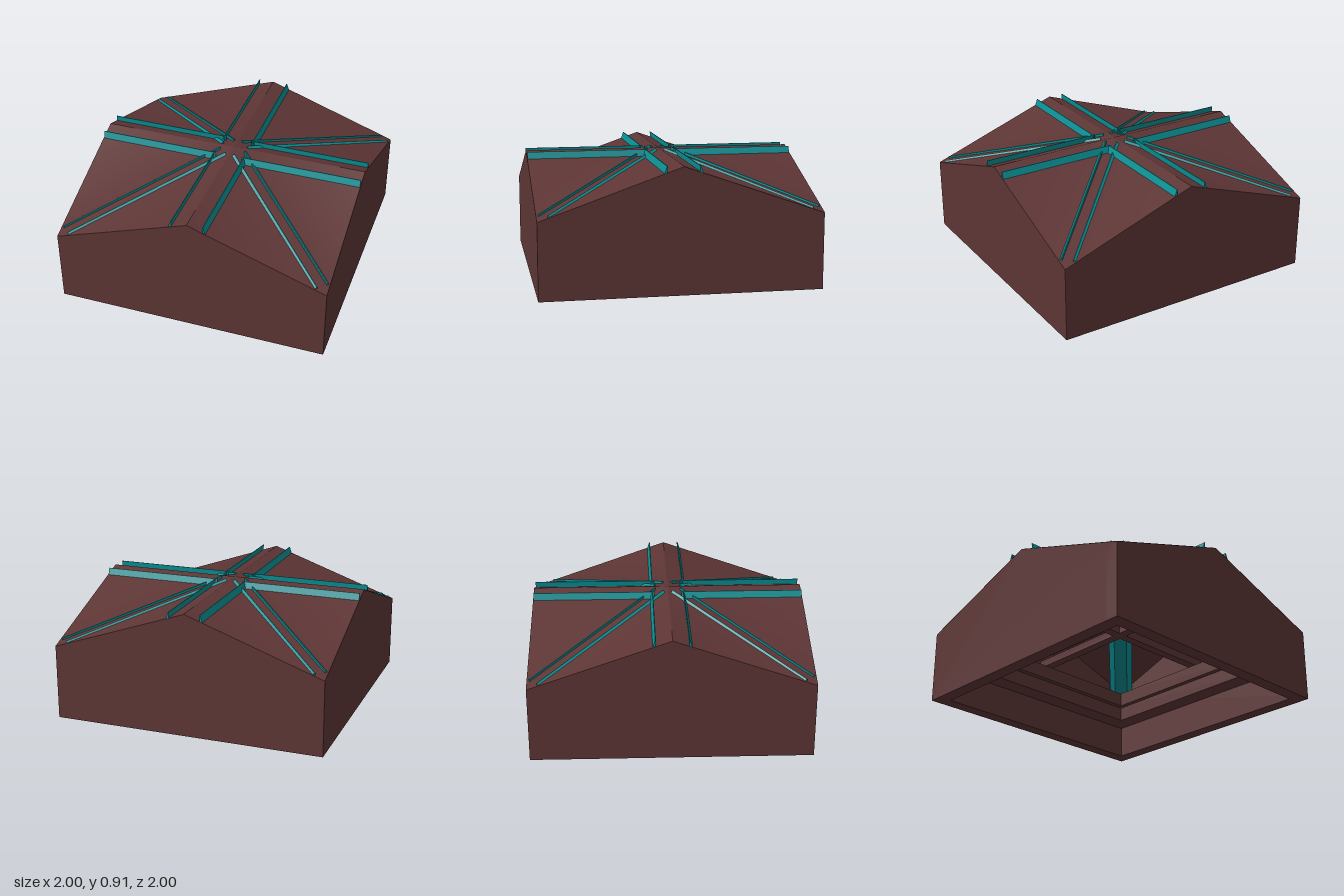
import * as THREE from 'three';

const EAVE = 0.55, RIDGE = 0.9, SLOPE = RIDGE - EAVE;

export function createModel() {
  const model = new THREE.Group();
  const brown = new THREE.MeshStandardMaterial({ color: 0x5e3535, side: THREE.DoubleSide });
  brown.name = 'brown';
  const teal = new THREE.MeshStandardMaterial({ color: 0x0a9094 });
  teal.name = 'teal';

  const add = (parent, name, geometry, material, x = 0, y = 0, z = 0) => {
    const mesh = new THREE.Mesh(geometry, material);
    mesh.name = name;
    mesh.position.set(x, y, z);
    parent.add(mesh);
    return mesh;
  };
  const polygon = (points) => new THREE.Shape(points.map(([x, y]) => new THREE.Vector2(x, y)));
  const extrude = (shape, depth) => new THREE.ExtrudeGeometry(shape, { depth, bevelEnabled: false });

  // One quarter of the cross-gabled roof: two slopes blending softly into a valley
  const roofQuarter = new THREE.BufferGeometry();
  roofQuarter.setAttribute('position', new THREE.Float32BufferAttribute(
    [0, RIDGE, 0, 1, RIDGE, 0, 1, EAVE, 1, 0, RIDGE, 1], 3));
  roofQuarter.setIndex([0, 2, 1, 0, 3, 2]);
  roofQuarter.computeVertexNormals();

  // Square frames that step inward inside the walls
  const frame = (name, inner, bottom, height) => {
    const outer = 0.99;
    const shape = polygon([[-outer, -outer], [outer, -outer], [outer, outer], [-outer, outer]]);
    shape.holes.push(polygon([[-inner, -inner], [-inner, inner], [inner, inner], [inner, -inner]]));
    const geometry = extrude(shape, height);
    geometry.rotateX(-Math.PI / 2);
    add(model, name, geometry, brown, 0, bottom, 0);
  };
  frame('lowerLedge', 0.76, 0.25, 0.11);
  frame('upperLedge', 0.72, 0.36, 0.11);

  // Gabled outer walls, just under the roof surface
  const gable = extrude(polygon([
    [-1, 0], [1, 0], [1, EAVE - 0.002], [0, RIDGE - 0.002], [-1, EAVE - 0.002],
  ]), 0.1);

  // Cross-section swept outward along z, dropping by fall per unit; heights count from the roof centre
  const sweep = (section, from, to, fall) => {
    const geometry = extrude(polygon(section), to - from);
    geometry.translate(0, RIDGE, from);
    return geometry.applyMatrix4(new THREE.Matrix4().set(
      1, 0, 0, 0, 0, 1, -fall, 0, 0, 0, 1, 0, 0, 0, 0, 1));
  };
  const mirrored = (section, s) => section.map(([x, y]) => [s * x, y]);

  // Fins lean inward to a narrow tip; beams below them taper downward
  const ridgeFin = [[0.118, -0.08], [0.146, -0.08], [0.117, 0.002], [0.111, 0.002]];
  const valleyFin = [[0.034, -0.06], [0.066, -0.06], [0.064, 0.012], [0.043, 0.03], [0.037, 0.028]];
  const ridgeBeam = [[-0.09, -0.21], [0.09, -0.21], [0.17, -0.075], [-0.17, -0.075]];
  const valleyBeam = [[-0.05, -0.12], [0.05, -0.12], [0.095, -0.02], [-0.095, -0.02]];
  const fall = SLOPE / Math.SQRT2;

  for (let k = 0; k < 4; k++) {
    const side = new THREE.Group();
    side.name = 'side';
    side.rotation.y = k * Math.PI / 2;
    model.add(side);
    const valley = new THREE.Group();
    valley.name = 'valley';
    valley.rotation.y = Math.PI / 4;
    side.add(valley);

    add(side, 'roof', roofQuarter, brown);
    add(side, 'gableWall', gable, brown, 0, 0, 0.9);
    add(side, 'ridgeBeam', sweep(ridgeBeam, 0, 0.95, 0), teal);
    add(valley, 'valleyBeam', sweep(valleyBeam, 0.3, 1.27, fall), teal);
    for (const s of [-1, 1]) {
      add(side, 'ridgeFin', sweep(mirrored(ridgeFin, s), 0.1, 0.997, 0), teal);
      add(valley, 'valleyFin', sweep(mirrored(valleyFin, s), 0.092, 1.347, fall + 0.004), teal);
    }
  }

  // Crossing ties below the ridges
  for (const turn of [0, Math.PI / 2]) {
    add(model, 'crossTie', new THREE.BoxGeometry(1.9, 0.06, 0.07), brown, 0, 0.56, 0).rotation.y = turn;
  }
  return model;
}
